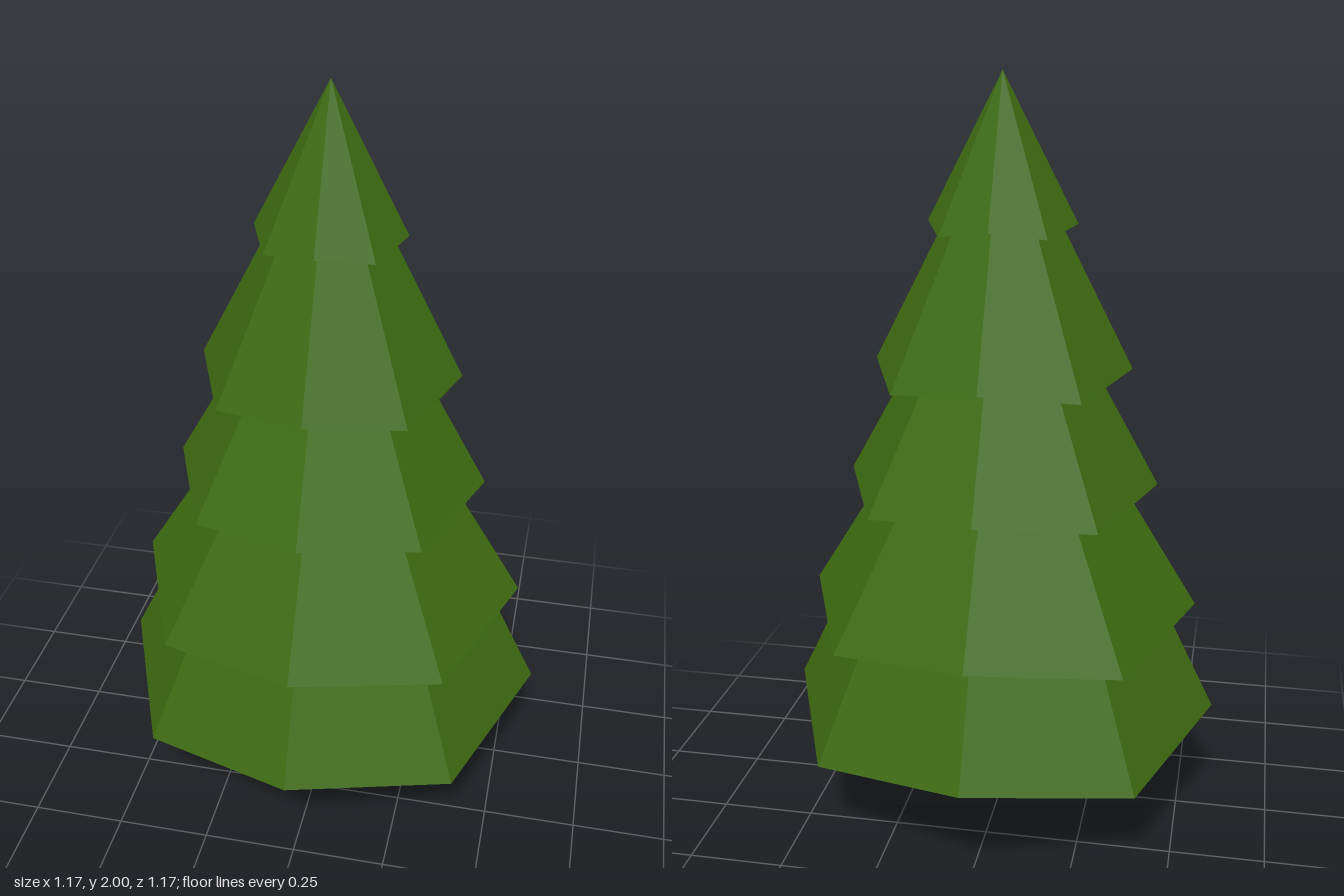
import * as THREE from 'three';

const leafMaterial = new THREE.MeshStandardMaterial({ color: 0x3d6b10, flatShading: true });
const barkMaterial = new THREE.MeshStandardMaterial({ color: 0x6b3a10, flatShading: true });

// Eight-sided cone whose rim zigzags: the diagonal corners hang lower.
function createTier({ radius, rimY, droop, apexY }) {
  const height = apexY - rimY;
  const geometry = new THREE.ConeGeometry(radius, height, 8);
  geometry.translate(0, rimY + height / 2, 0);
  const position = geometry.attributes.position;
  for (let i = 0; i < position.count; i++) {
    const x = position.getX(i);
    const y = position.getY(i);
    const z = position.getZ(i);
    if (y > rimY + 0.01) continue;
    const isCentre = Math.hypot(x, z) < 0.001;
    const isDiagonal = Math.abs(x * z) > 0.001;
    if (isCentre) position.setY(i, rimY - droop * 0.25);
    else if (isDiagonal) position.setY(i, rimY - droop);
  }
  geometry.computeVertexNormals();
  return new THREE.Mesh(geometry, leafMaterial);
}

export function createModel() {
  const tree = new THREE.Group();
  tree.name = 'pineTree';

  // Foliage tiers, from the bottom up
  const tiers = [
    { radius: 0.587, rimY: 0.315, droop: 0.06, apexY: 1.5 },
    { radius: 0.528, rimY: 0.615, droop: 0.055, apexY: 1.46 },
    { radius: 0.416, rimY: 0.95, droop: 0.04, apexY: 1.69 },
    { radius: 0.341, rimY: 1.26, droop: 0.035, apexY: 1.92 },
    { radius: 0.194, rimY: 1.628, droop: 0.022, apexY: 2 },
  ];
  tiers.forEach((tier, i) => {
    const mesh = createTier(tier);
    mesh.name = `foliageTier${i + 1}`;
    tree.add(mesh);
  });

  // Six-sided trunk, flared at the foot, with corners on the x axis
  const profile = [[0, 0], [0.077, 0], [0.064, 0.12], [0.054, 0.24], [0.05, 0.36], [0, 0.36]]
    .map(([r, y]) => new THREE.Vector2(r, y));
  const trunk = new THREE.Mesh(new THREE.LatheGeometry(profile, 6, Math.PI / 2), barkMaterial);
  trunk.name = 'trunk';
  tree.add(trunk);

  return tree;
}
